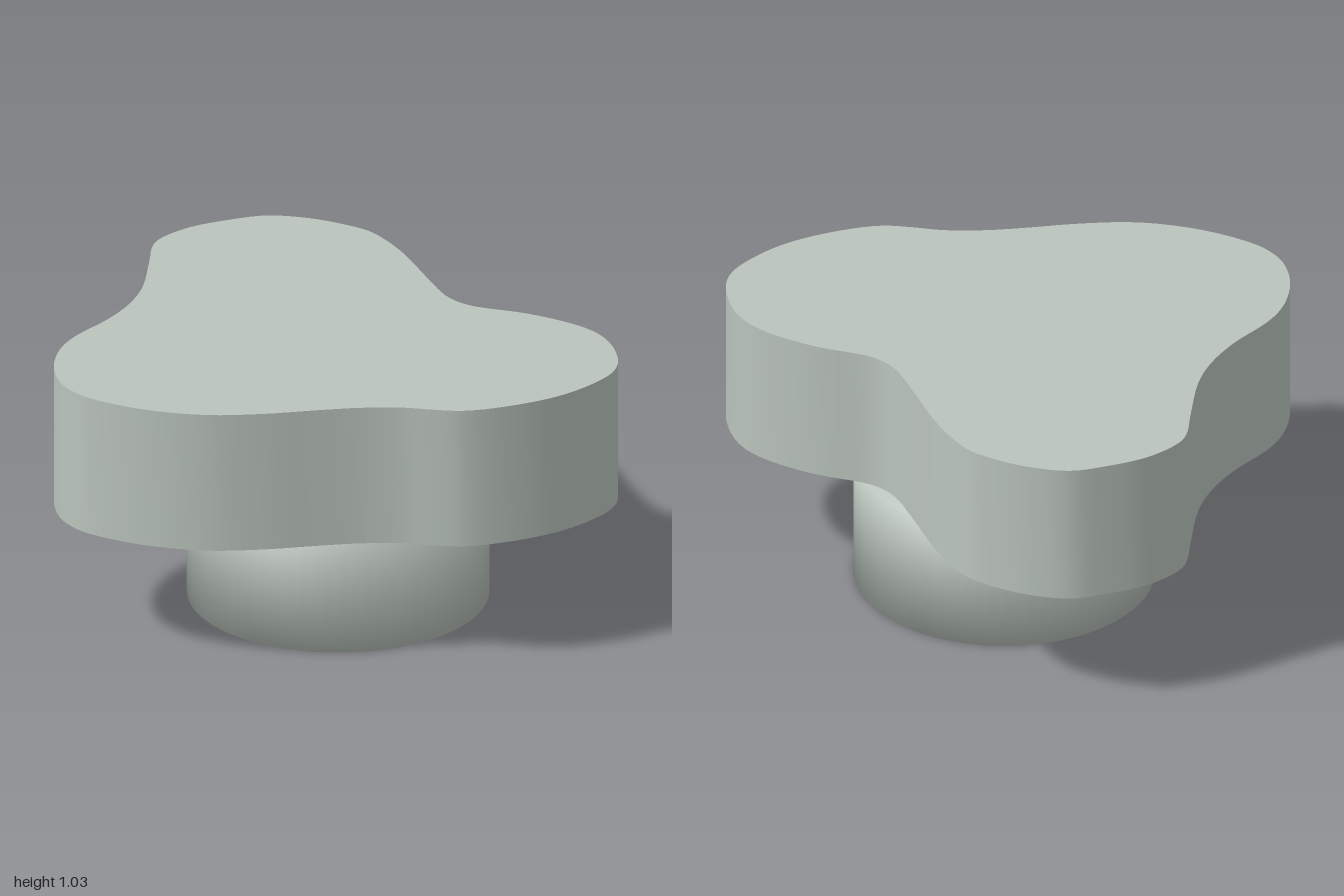
import * as THREE from 'three';
import { mergeVertices, toCreasedNormals } from 'three/addons/utils/BufferGeometryUtils.js';

// Outline of the three-lobed slab as x, z pairs, clockwise from the back lobe
const OUTLINE = [
  [0.06, -0.95], [0.2, -0.94], [0.33, -0.87], [0.42, -0.79], [0.5, -0.69], [0.535, -0.58],
  [0.555, -0.45], [0.565, -0.2], [0.575, -0.06], [0.605, 0.02], [0.65, 0.075], [0.8, 0.19],
  [0.93, 0.335], [0.985, 0.44], [1, 0.55], [0.975, 0.7], [0.92, 0.79], [0.8, 0.87],
  [0.65, 0.925], [0.45, 0.945], [0.3, 0.93], [0.2, 0.885], [0.1, 0.83], [-0.05, 0.78],
  [-0.2, 0.75], [-0.4, 0.715], [-0.6, 0.655], [-0.8, 0.53], [-0.95, 0.37], [-0.99, 0.28],
  [-1, 0.2], [-0.98, 0.08], [-0.93, -0.03], [-0.87, -0.11], [-0.8, -0.17], [-0.65, -0.265],
  [-0.53, -0.37], [-0.44, -0.49], [-0.34, -0.7], [-0.28, -0.83], [-0.23, -0.88], [-0.1, -0.935],
];
const BASE_HEIGHT = 0.49;
const SLAB_HEIGHT = 0.54;

// Lobed slab: smooth walls with sharp top and bottom rims
function slabGeometry() {
  const curve = new THREE.CatmullRomCurve3(
    OUTLINE.map(([x, z]) => new THREE.Vector3(x, -z, 0)), true);
  const points = curve.getPoints(168).slice(0, -1).map((p) => new THREE.Vector2(p.x, p.y));
  const geometry = new THREE.ExtrudeGeometry(new THREE.Shape(points), {
    depth: SLAB_HEIGHT, bevelEnabled: false,
  });
  geometry.rotateX(-Math.PI / 2);
  return toCreasedNormals(geometry, 0.6);
}

// Round base, with its shading blended softly over the rims
function baseGeometry() {
  const cylinder = new THREE.CylinderGeometry(0.55, 0.55, BASE_HEIGHT, 72);
  cylinder.deleteAttribute('normal');
  cylinder.deleteAttribute('uv');
  const geometry = mergeVertices(cylinder);
  geometry.computeVertexNormals();
  return geometry;
}

export function createModel() {
  const group = new THREE.Group();
  group.name = 'lobedTable';

  const stone = new THREE.MeshStandardMaterial({ color: 0xbac4bc });
  stone.name = 'paleGreyGreen';

  const base = new THREE.Mesh(baseGeometry(), stone);
  base.name = 'base';
  base.position.set(0.1, BASE_HEIGHT / 2, 0.12);

  const slab = new THREE.Mesh(slabGeometry(), stone);
  slab.name = 'tableTop';
  slab.position.y = BASE_HEIGHT;

  group.add(base, slab);
  return group;
}
